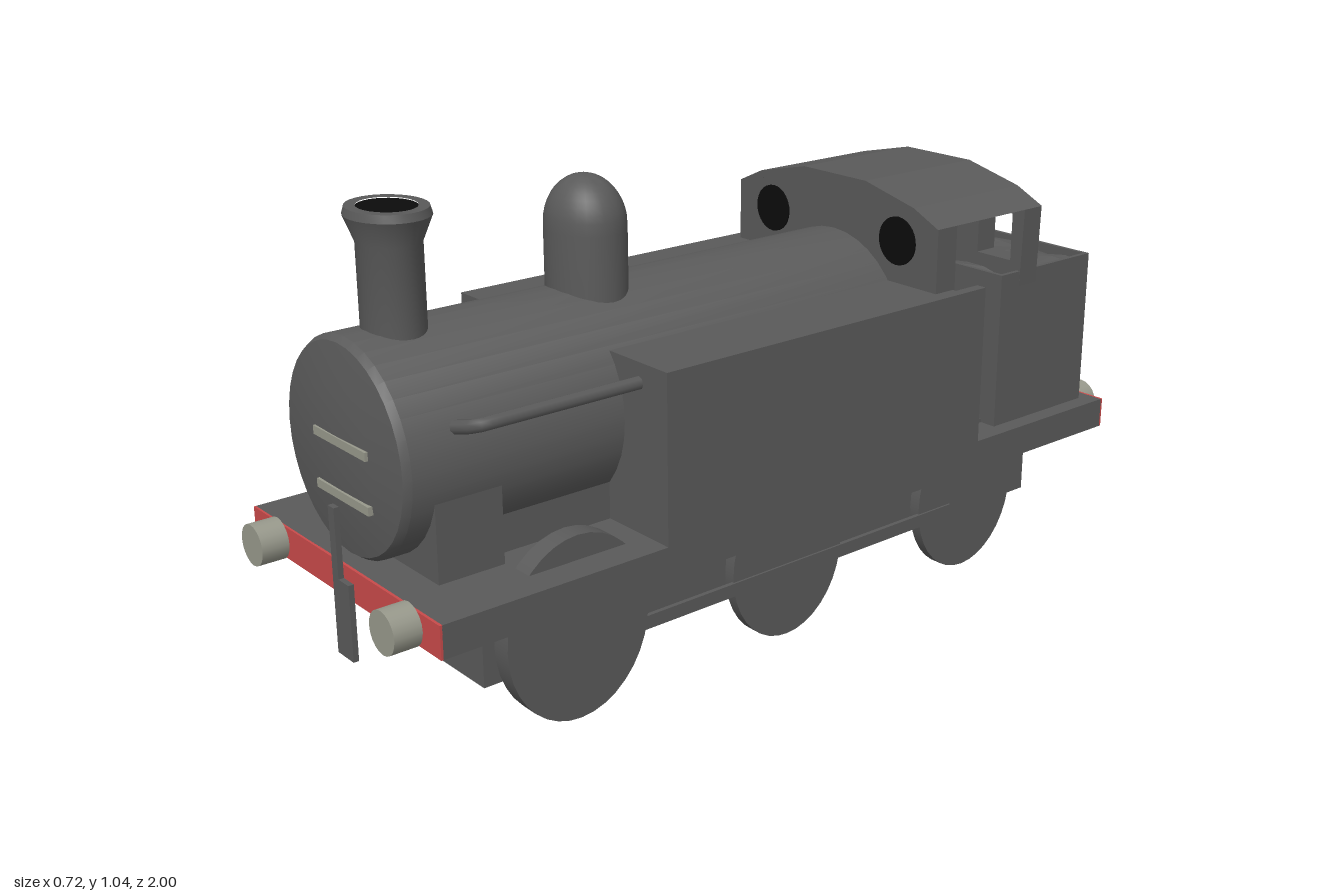
import * as THREE from 'three';
import { toCreasedNormals } from 'three/addons/utils/BufferGeometryUtils.js';

export function createModel() {
  const model = new THREE.Group();
  model.name = 'tankEngine';
  const mat = (name, color) => {
    const m = new THREE.MeshStandardMaterial({ color });
    m.name = name;
    return m;
  };
  const grey = mat('bodyGrey', 0x5a5a5a);
  const red = mat('beamRed', 0xc84a4a);
  const steel = mat('bufferSteel', 0x97988b);
  const black = mat('openingBlack', 0x0b0b0b);

  const add = (name, geo, material = grey, x = 0, y = 0, z = 0) => {
    const m = new THREE.Mesh(geo, material);
    m.name = name;
    m.position.set(x, y, z);
    model.add(m);
    return m;
  };
  // box given by its limits on each axis
  const box = (name, x0, x1, y0, y1, z0, z1, material = grey) =>
    add(name, new THREE.BoxGeometry(x1 - x0, y1 - y0, z1 - z0), material,
      (x0 + x1) / 2, (y0 + y1) / 2, (z0 + z1) / 2);
  const lathe = (pts, segs) =>
    toCreasedNormals(new THREE.LatheGeometry(pts.map(p => new THREE.Vector2(...p)), segs), 0.6);
  const extrude = (shape, depth) =>
    new THREE.ExtrudeGeometry(shape, { depth, bevelEnabled: false });
  const polygon = pts => new THREE.Shape(pts.map(p => new THREE.Vector2(...p)));

  // chassis, running board and red buffer beams
  box('chassis', -0.215, 0.215, 0.1, 0.29, -0.84, 0.76);
  box('runningBoard', -0.36, 0.36, 0.28, 0.35, -0.945, 0.935);
  box('frontBeam', -0.36, 0.36, 0.28, 0.35, 0.934, 0.94, red);
  box('rearBeam', -0.36, 0.36, 0.28, 0.35, -0.95, -0.944, red);

  // boiler with slightly bulged smokebox door
  const boiler = add('boiler', lathe([[0, -0.43], [0.225, -0.43], [0.225, 0.9], [0.215, 0.915],
    [0.13, 0.93], [0, 0.935]], 36), grey, 0, 0.578, 0);
  boiler.rotation.x = Math.PI / 2;
  box('smokeboxSaddle', -0.215, 0.215, 0.34, 0.52, 0.7, 0.85);
  box('boilerCradle', -0.17, 0.17, 0.34, 0.45, -0.37, 0.72);
  for (const y of [0.493, 0.603]) box('doorStrap', -0.075, 0.12, y - 0.009, y + 0.009, 0.925, 0.937, steel);

  // chimney and dome, slightly narrower along the engine
  const chimney = add('chimney', lathe([[0.072, 0.74], [0.072, 0.97], [0.095, 1.022], [0.09, 1.038],
    [0.066, 1.038]], 28), grey, 0, 0, 0.79);
  chimney.scale.z = 0.86;
  const bore = add('chimneyBore', new THREE.CircleGeometry(0.067, 28), black, 0, 1.036, 0.79);
  bore.rotation.x = -Math.PI / 2;
  bore.scale.y = 0.86;
  const domePts = [[0.095, 0.74], [0.095, 0.92]];
  for (let i = 1; i <= 10; i++) {
    const a = i * Math.PI / 20;
    domePts.push([0.095 * Math.cos(a), 0.93 + 0.103 * Math.sin(a)]);
  }
  add('dome', lathe(domePts, 28), grey, 0, 0, 0.332).scale.z = 0.86;

  // cab sheets and arched roof
  const arch = [[0.325, 0.86], [0.25, 0.895], [0.1, 0.93], [-0.1, 0.93], [-0.25, 0.895], [-0.325, 0.86]];
  const under = [[-0.3, 0.86], [-0.24, 0.88], [-0.1, 0.912], [0.1, 0.912], [0.24, 0.88], [0.3, 0.86]];
  add('cabRoof', extrude(polygon([...arch, ...under]), 0.345), grey, 0, 0, -0.72);
  add('cabFront', extrude(polygon([[-0.325, 0.35], [0.325, 0.35], ...arch]), 0.06), grey, 0, 0, -0.436);
  const back = polygon([[-0.32, 0.68], [0.32, 0.68], ...arch]);
  for (const s of [-1, 1]) {
    const [a, b] = s < 0 ? [-0.29, -0.19] : [0.19, 0.29];
    back.holes.push(new THREE.Path([[a, 0.735], [a, 0.845], [b, 0.845], [b, 0.735]]
      .map(p => new THREE.Vector2(...p))));
  }
  add('cabBack', extrude(back, 0.058), grey, 0, 0, -0.719);

  // bunker with rim and a rough heap of coal
  box('bunker', -0.32, 0.32, 0.35, 0.68, -0.91, -0.6);
  box('bunkerBackRim', -0.32, 0.32, 0.67, 0.715, -0.91, -0.9);
  box('bunkerFrontRim', -0.32, 0.32, 0.67, 0.715, -0.61, -0.6);
  const coal = new THREE.PlaneGeometry(0.62, 0.29, 12, 6).rotateX(-Math.PI / 2).toNonIndexed();
  const p = coal.attributes.position;
  for (let i = 0; i < p.count; i++) {
    const h = Math.sin(p.getX(i) * 91.7 + p.getZ(i) * 157.3) * 437.5;
    p.setY(i, 0.69 + 0.024 * (h - Math.floor(h + 1e-4)));
  }
  coal.computeVertexNormals();
  add('coal', coal, grey, 0, 0, -0.755);

  // front coupling
  box('couplingLink', -0.01, 0.012, 0.3, 0.47, 0.94, 0.952);
  box('couplingHook', -0.01, 0.05, 0.155, 0.32, 0.94, 0.952);

  // parts on both sides
  const disc = (name, r, w, x, y, z) => {
    const m = add(name, new THREE.CylinderGeometry(r, r, w, 36), grey, x, y, z);
    m.rotation.z = Math.PI / 2;
    m.scale.z = 0.86;
    return m;
  };
  for (const s of [-1, 1]) {
    const side = (name, x0, x1, ...rest) =>
      box(name, Math.min(s * x0, s * x1), Math.max(s * x0, s * x1), ...rest);
    side('sideTank', 0.12, 0.36, 0.35, 0.715, -0.43, 0.41);
    side('cabSide', 0.335, 0.36, 0.35, 0.715, -0.5, -0.42);
    side('bunkerSideRim', 0.31, 0.32, 0.67, 0.715, -0.91, -0.6);
    side('couplingRod', 0.275, 0.285, 0.14, 0.17, -0.5, 0.64);
    for (const z of [0.58, 0.012, -0.555]) disc('wheel', 0.183, 0.027, s * 0.267, 0.183, z);
    disc('splasher', 0.2, 0.046, s * 0.268, 0.203, 0.58);

    // round cab window
    const glass = add('cabWindow', new THREE.CylinderGeometry(0.055, 0.055, 0.006, 28), black, s * 0.205, 0.812, -0.375);
    glass.rotation.x = Math.PI / 2;

    // buffers at both ends
    for (const e of [-1, 1]) {
      const buffer = add('buffer', new THREE.CylinderGeometry(0.045, 0.045, 0.06, 20), steel, s * 0.255, 0.315, e * 0.97);
      buffer.rotation.x = Math.PI / 2;
    }

    // handrail bending into the boiler
    const path = new THREE.CatmullRomCurve3([[0.272, 0.672, 0.4], [0.272, 0.672, 0.74], [0.262, 0.668, 0.785], [0.2, 0.652, 0.795]]
      .map(([x, y, z]) => new THREE.Vector3(s * x, y, z)), false, 'catmullrom', 0.2);
    add('handrail', new THREE.TubeGeometry(path, 24, 0.014, 8), grey);
  }
  return model;
}
